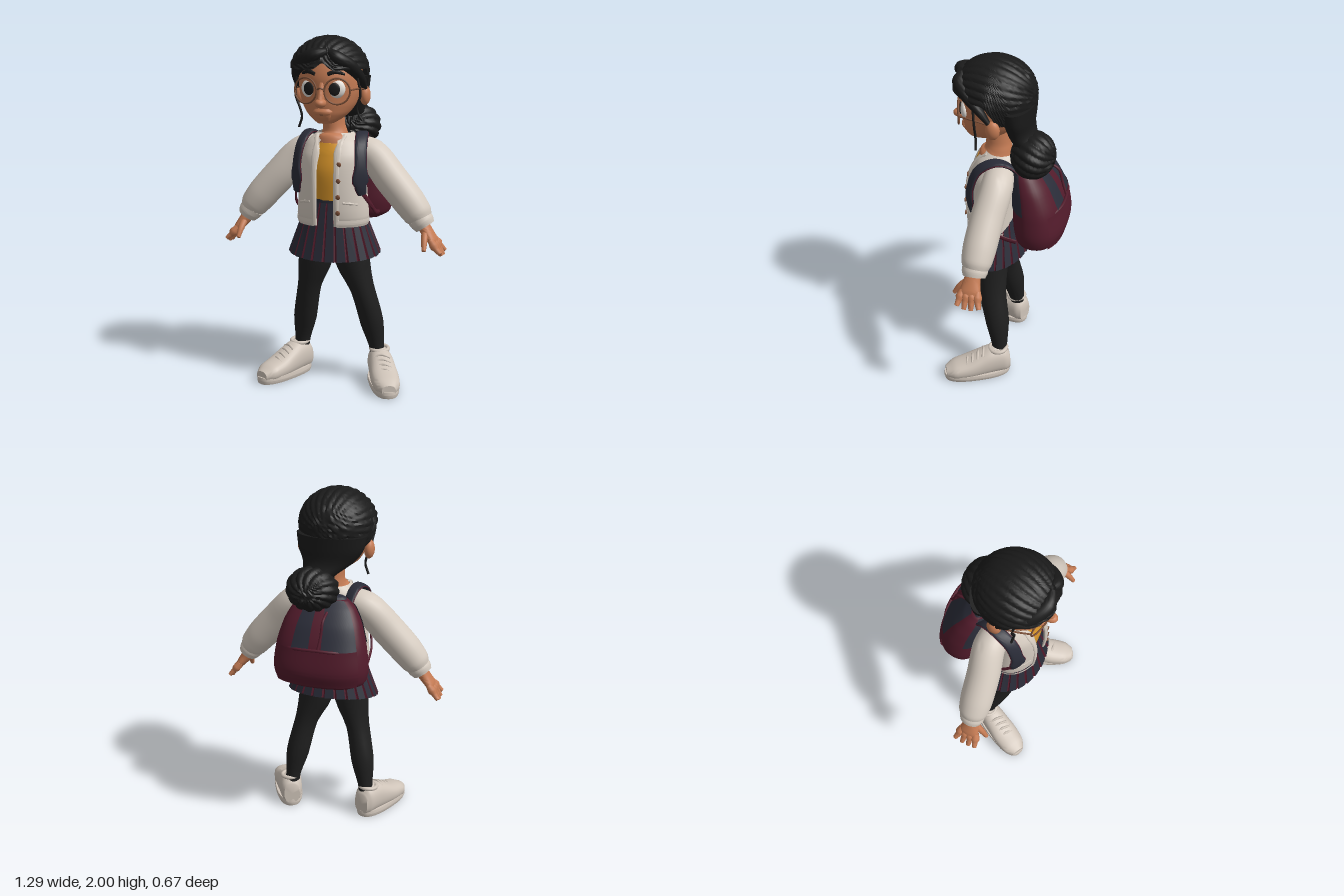
import * as THREE from 'three';
import { toCreasedNormals } from 'three/addons/utils/BufferGeometryUtils.js';
import { ParametricGeometry } from 'three/addons/geometries/ParametricGeometry.js';

const X = new THREE.Vector3(1, 0, 0), Y = new THREE.Vector3(0, 1, 0), Z = new THREE.Vector3(0, 0, 1);
const PI = Math.PI;

// Tapered sweep: rows are [x, y, z, radius along ref, radius across]; a fixed axis keeps sections parallel
function sweep(rows, { ref = Z, axis, a0 = 0, a1 = 2 * PI, p = 1, nu = 28, nv = 20, cap = true } = {}) {
  const path = new THREE.CatmullRomCurve3(rows.map(r => new THREE.Vector3(r[0], r[1], r[2])));
  const size = new THREE.CatmullRomCurve3(rows.map(r => new THREE.Vector3(r[3], r[4], 0)));
  const e = cap ? 1 / nv : 0;
  const bend = c => Math.sign(c) * Math.abs(c) ** p;
  const t = new THREE.Vector3(), u = new THREE.Vector3(), w = new THREE.Vector3(), r = new THREE.Vector3();
  const geo = new ParametricGeometry((i, j, out) => {
    const s = cap ? Math.max(0.005, Math.min(1, j / e, (1 - j) / e)) : 1;
    const k = THREE.MathUtils.clamp((j - e) / (1 - 2 * e), 0, 1);
    path.getPoint(k, out); size.getPoint(k, r);
    if (axis) t.copy(axis); else path.getTangent(k, t);
    u.copy(ref).addScaledVector(t, -ref.dot(t)).normalize();
    w.crossVectors(t, u);
    const a = a0 + (a1 - a0) * i;
    out.addScaledVector(u, bend(Math.cos(a)) * r.x * s).addScaledVector(w, bend(Math.sin(a)) * r.y * s);
  }, nu, nv);
  return toCreasedNormals(geo, 0.9);
}

// Ellipsoid of combed hair, cut at a hairline angle that varies around the head
function hairBlob(c, rad, count, depth, hairline = () => PI) {
  const geo = new ParametricGeometry((u, v, out) => {
    const f = PI - u * 2 * PI, th = Math.max(0.002, v * hairline(f));
    const d = [Math.sin(th) * Math.sin(f), Math.cos(th), Math.sin(th) * Math.cos(f)];
    const k = 1 - depth * (1 - Math.abs(Math.sin(count * Math.atan2(d[0], d[1]) + 3 * d[2])));
    out.set(c[0] + d[0] * rad[0] * k, c[1] + d[1] * rad[1] * k, c[2] + d[2] * rad[2] * k);
  }, 96, 40);
  return toCreasedNormals(geo, 0.7);
}

// Pleated skirt strips between two fractions of each pleat, creased inwards by depth at either edge
function pleats(from, to, dFrom, dTo) {
  const n = 24, pos = [];
  const levels = [[1.11, 0.145, 0.12], [0.96, 0.2, 0.15], [0.775, 0.272, 0.19]];
  const pt = (f, l, depth) => {
    const [y, rx, rz] = levels[l], k = 1 - depth * (l + 1), a = f * 2 * PI / n;
    return [Math.sin(a) * rx * k, y - (l === 2 ? 0.028 * Math.cos(a) : 0), 0.075 + Math.cos(a) * rz * k];
  };
  for (let i = 0; i < n; i++) for (let l = 0; l < 2; l++) {
    const A = pt(i + from, l, dFrom), B = pt(i + to, l, dTo), C = pt(i + to, l + 1, dTo), D = pt(i + from, l + 1, dFrom);
    pos.push(...A, ...D, ...C, ...A, ...C, ...B);
  }
  const g = new THREE.BufferGeometry();
  g.setAttribute('position', new THREE.Float32BufferAttribute(pos, 3));
  g.computeVertexNormals();
  return g;
}

export function createModel() {
  const model = new THREE.Group();
  model.name = 'schoolgirl';
  const mat = (name, color) => new THREE.MeshStandardMaterial({ name, color, side: THREE.DoubleSide });
  const hair = mat('hairBlack', 0x1a1a1a), skin = mat('skin', 0xc47b54), cream = mat('cardiganCream', 0xd5cbc0),
    mustard = mat('shirtMustard', 0xd8952a), navy = mat('navy', 0x2a2c38), maroon = mat('maroon', 0x521b2b),
    tights = mat('tightsBlack', 0x1f1f1f), white = mat('eyeWhite', 0xe6e2dc), brown = mat('frameBrown', 0x7c5038),
    canvas = mat('shoeCanvas', 0xcfc4b9);
  const add = (name, geo, m, parent = model) => {
    const mesh = new THREE.Mesh(geo, m);
    mesh.name = name; parent.add(mesh);
    return mesh;
  };
  const ball = (name, m, p, r) => {
    const b = add(name, new THREE.SphereGeometry(1, 24, 16), m);
    b.position.set(...p); b.scale.set(...r);
    return b;
  };
  // Round cord of constant thickness
  const cord = (name, m, pts, r, parent) => add(name, new THREE.TubeGeometry(
    new THREE.CatmullRomCurve3(pts.map(q => new THREE.Vector3(...q))), 20, r, 8), m, parent);

  // Head and neck
  add('head', sweep([[-0.015, 1.525, 0.185, 0.055, 0.045], [-0.015, 1.545, 0.16, 0.09, 0.08], [-0.015, 1.58, 0.135, 0.127, 0.12],
    [-0.016, 1.63, 0.112, 0.156, 0.152], [-0.016, 1.7, 0.095, 0.176, 0.173], [-0.018, 1.78, 0.085, 0.19, 0.178],
    [-0.02, 1.88, 0.08, 0.165, 0.155], [-0.02, 1.94, 0.08, 0.1, 0.1]], { axis: Y, nu: 40, nv: 30 }), skin);
  add('neck', sweep([[0, 1.36, 0.09, 0.1, 0.12], [0, 1.42, 0.077, 0.1, 0.1], [0, 1.455, 0.07, 0.078, 0.075],
    [-0.003, 1.5, 0.07, 0.07, 0.062], [-0.01, 1.6, 0.075, 0.07, 0.06]]), skin);
  ball('noseTip', skin, [-0.013, 1.643, 0.287], [0.031, 0.026, 0.042]);
  add('noseBridge', sweep([[-0.014, 1.75, 0.258, 0.02, 0.016], [-0.013, 1.65, 0.285, 0.03, 0.02]]), skin);
  add('mouthMound', sweep([[-0.013, 1.61, 0.24, 0.03, 0.05], [-0.013, 1.58, 0.24, 0.03, 0.05], [-0.013, 1.55, 0.225, 0.025, 0.045]]), skin);
  cord('mouth', brown, [[-0.052, 1.59, 0.254], [-0.013, 1.58, 0.271], [0.028, 1.592, 0.254]], 0.006);

  // Eyes, brows, ears and glasses
  for (const s of [-1, 1]) {
    const cx = -0.014 + s * 0.076;
    ball('eyeWhite', white, [cx, 1.718, 0.24], [0.05, 0.052, 0.026]).rotation.y = s * 0.25;
    ball('iris', brown, [cx - s * 0.003, 1.718, 0.26], [0.032, 0.036, 0.008]).rotation.y = s * 0.2;
    ball('pupil', hair, [cx - s * 0.003, 1.718, 0.264], [0.031, 0.035, 0.008]).rotation.y = s * 0.2;
    add('eyebrow', sweep([[cx - s * 0.04, 1.798, 0.272, 0.006, 0.01], [cx, 1.812, 0.26, 0.007, 0.012],
      [cx + s * 0.045, 1.797, 0.228, 0.005, 0.006]]), hair);
    ball('ear', skin, [-0.018 + s * 0.192, 1.67, 0.06], [0.03, 0.055, 0.04]);
    const rim = add('glassesRim', new THREE.TorusGeometry(0.07, 0.005, 8, 36), brown);
    rim.position.set(-0.013 + s * 0.09, 1.708, 0.272);
    rim.rotation.y = s * 0.25;
    cord('glassesArm', brown, [[-0.013 + s * 0.157, 1.715, 0.256], [-0.016 + s * 0.186, 1.715, 0.16], [-0.018 + s * 0.196, 1.7, 0.06]], 0.005);
  }
  cord('glassesBridge', brown, [[-0.034, 1.715, 0.287], [-0.013, 1.725, 0.297], [0.008, 1.715, 0.287]], 0.005);

  // Hair: cap, swept fringe, loose strands and low bun
  add('hairCap', hairBlob([-0.022, 1.8, 0.092], [0.223, 0.2, 0.235], 14, 0.035, f =>
    1.46 + 1.16 * THREE.MathUtils.smoothstep(-Math.cos(f), -0.15, 0.6) - 0.2 * Math.exp(-(((f - 0.12) / 0.16) ** 2))), hair);
  add('fringeRight', sweep([[0.02, 1.92, 0.27, 0.02, 0.02], [-0.06, 1.895, 0.278, 0.045, 0.042], [-0.145, 1.85, 0.225, 0.04, 0.042],
    [-0.2, 1.78, 0.13, 0.03, 0.032], [-0.212, 1.71, 0.08, 0.012, 0.015]]), hair);
  add('fringeLeft', sweep([[0.03, 1.92, 0.26, 0.02, 0.02], [0.075, 1.885, 0.262, 0.04, 0.038], [0.13, 1.84, 0.21, 0.035, 0.038],
    [0.167, 1.77, 0.13, 0.025, 0.028], [0.178, 1.71, 0.08, 0.012, 0.015]]), hair);
  cord('strandRight', hair, [[-0.19, 1.78, 0.17], [-0.2, 1.67, 0.16], [-0.175, 1.6, 0.16], [-0.165, 1.55, 0.155], [-0.185, 1.49, 0.15]], 0.007);
  cord('strandLeft', hair, [[0.16, 1.78, 0.17], [0.175, 1.68, 0.16], [0.155, 1.61, 0.16], [0.165, 1.57, 0.155], [0.185, 1.54, 0.15]], 0.007);
  add('hairNape', sweep([[-0.02, 1.77, -0.03, 0.11, 0.2], [-0.018, 1.69, -0.045, 0.09, 0.185], [-0.005, 1.62, -0.055, 0.078, 0.145],
    [0.03, 1.56, -0.085, 0.075, 0.1], [0.045, 1.53, -0.11, 0.07, 0.08]], { axis: Y }), hair);
  add('hairBun', hairBlob([0.06, 1.475, -0.14], [0.152, 0.13, 0.126], 7, 0.08), hair);

  // Shirt, skirt and cardigan
  add('shirt', sweep([[0, 1.08, 0.085, 0.128, 0.15], [0, 1.25, 0.09, 0.137, 0.17], [0, 1.36, 0.08, 0.125, 0.15],
    [0, 1.41, 0.075, 0.11, 0.11]], { axis: Y }), mustard);
  const d = 0.014;
  add('skirtPleats', pleats(0, 0.74, 0, 0.3 * d), navy);
  add('skirtFoldsIn', pleats(0.74, 0.88, 0.3 * d, d), maroon);
  add('skirtFoldsOut', pleats(0.88, 1, d, 0), maroon);
  add('waistband', sweep([[0, 1.075, 0.08, 0.134, 0.16], [0, 1.105, 0.08, 0.134, 0.16]]), navy);
  const open = { axis: Y, a0: 0.32, a1: 2 * PI - 0.35, cap: false, nu: 40 };
  add('cardigan', sweep([[0, 0.95, 0.095, 0.14, 0.196], [0, 1.0, 0.1, 0.15, 0.208], [0, 1.2, 0.1, 0.15, 0.193],
    [0, 1.33, 0.09, 0.142, 0.188], [0, 1.41, 0.065, 0.122, 0.16], [0, 1.46, 0.05, 0.09, 0.1]], open), cream);
  add('cardiganHem', sweep([[0, 0.945, 0.098, 0.15, 0.203], [0, 0.965, 0.098, 0.155, 0.21], [0, 0.985, 0.1, 0.152, 0.21]], open), cream);
  for (const s of [-1, 1]) {
    const x = s > 0 ? 0.06 : -0.069;
    add('placket', sweep([[x, 0.95, 0.236, 0.016, 0.007], [x, 1.1, 0.246, 0.016, 0.007], [x, 1.28, 0.233, 0.016, 0.007],
      [x, 1.39, 0.188, 0.016, 0.007], [x * 1.25, 1.45, 0.12, 0.014, 0.007]], { ref: X }), cream);
    add('pocketWelt', sweep([[s * 0.095, 1.085, 0.23, 0.008, 0.01], [s * 0.13, 1.08, 0.211, 0.008, 0.01], [s * 0.165, 1.07, 0.182, 0.008, 0.01]]), cream);
  }
  [[1.3, 0.231], [1.21, 0.246], [1.12, 0.25], [1.03, 0.25]].forEach(([y, z]) =>
    ball('button', brown, [0.073, y, z], [0.014, 0.014, 0.006]));

  for (const s of [-1, 1]) {
    const side = rows => rows.map(([x, ...r]) => [x * s, ...r]);

    // Arms and hands
    add('sleeve', sweep(side([[0.12, 1.375, 0.035, 0.08, 0.07], [0.21, 1.335, 0.03, 0.09, 0.088], [0.325, 1.207, 0.055, 0.093, 0.095],
      [0.43, 1.09, 0.07, 0.093, 0.092], [0.49, 1.015, 0.077, 0.084, 0.082], [0.515, 0.98, 0.08, 0.065, 0.06]]), { nv: 28 }), cream);
    add('cuff', sweep(side([[0.495, 1.0, 0.08, 0.072, 0.07], [0.515, 0.975, 0.08, 0.072, 0.068], [0.532, 0.95, 0.08, 0.062, 0.058]])), cream);
    add('palm', sweep(side([[0.515, 0.97, 0.082, 0.04, 0.035], [0.545, 0.925, 0.09, 0.048, 0.033], [0.58, 0.88, 0.092, 0.058, 0.026],
      [0.592, 0.865, 0.092, 0.05, 0.02]])), skin);
    [[0.03, 0.81], [0.075, 0.795], [0.115, 0.798], [0.155, 0.815]].forEach(([z, y], i) =>
      add('finger', sweep(side([[0.575, 0.885, 0.05 + i * 0.028, 0.018, 0.017], [0.61, 0.84, 0.042 + i * 0.035, 0.018, 0.017],
        [0.637, y, z, 0.013, 0.012]]), { nu: 10, nv: 10 }), skin));
    add('thumb', sweep(side([[0.54, 0.925, 0.11, 0.024, 0.022], [0.545, 0.885, 0.155, 0.019, 0.018], [0.55, 0.835, 0.19, 0.012, 0.012]]), { nu: 10 }), skin);

    // Legs, a little wider on the left
    const k = s > 0 ? 1 : 0.91;
    add('leg', sweep(side([[0.1, 0.92, 0.085, 0.1, 0.1], [0.103, 0.77, 0.09, 0.098, 0.105], [0.17 * k, 0.55, 0.072, 0.08, 0.067],
      [0.212 * k, 0.36, 0.035, 0.071, 0.068], [0.24 * k, 0.19, 0.015, 0.046, 0.043], [0.244 * k, 0.12, 0.015, 0.045, 0.042]])), tights);

    // Shoes turned outwards
    const shoe = new THREE.Group();
    shoe.name = 'shoe'; shoe.position.set(s * 0.255 * k, 0, 0.012); shoe.rotation.y = s * 0.43;
    model.add(shoe);
    add('sole', sweep([[0, 0, 0.14, 0.198, 0.076], [0, 0.02, 0.14, 0.202, 0.082], [0, 0.04, 0.14, 0.2, 0.08]], { p: 0.8 }), canvas, shoe);
    add('shoeUpper', sweep([[0, 0.085, -0.058, 0.065, 0.048], [0, 0.1, -0.025, 0.09, 0.066], [0, 0.1, 0.05, 0.092, 0.072],
      [0, 0.085, 0.12, 0.08, 0.077], [0, 0.067, 0.2, 0.06, 0.081], [0, 0.055, 0.28, 0.047, 0.072], [0, 0.045, 0.33, 0.03, 0.04]],
      { ref: Y, axis: Z, p: 0.85, nv: 28 }), canvas, shoe);
    add('shoeCollar', new THREE.TorusGeometry(0.05, 0.012, 10, 28).rotateX(PI / 2 + 0.08).translate(0, 0.185, 0.008), canvas, shoe);
    for (let i = 0; i < 4; i++) {
      const z = 0.1 + i * 0.033, y = 0.176 - i * 0.017;
      cord('lace', canvas, [[-0.045, y - 0.016, z - 0.01], [0, y, z], [0.045, y - 0.016, z + 0.01]], 0.008, shoe);
    }

    // Shoulder straps with piping, turned to lie round the chest
    const strap = (w, t) => sweep(side([[0.12, 1.36, -0.09, w, t], [0.14, 1.44, -0.01, w, t], [0.158, 1.452, 0.06, w, t], [0.175, 1.4, 0.145, w, t],
      [0.186, 1.29, 0.187, w, t], [0.187, 1.18, 0.19, w, t], [0.192, 1.13, 0.175, w * 0.7, t]]),
      { ref: new THREE.Vector3(s * 0.8, 0, -0.6), nv: 32, p: 0.7 });
    add('strap', strap(0.034, 0.013), navy);
    add('strapPiping', strap(0.037, 0.005), maroon);
    add('lowerStrap', sweep(side([[0.195, 1.14, 0.18, 0.014, 0.006], [0.222, 1.06, 0.1, 0.014, 0.006], [0.222, 1.0, 0, 0.014, 0.006],
      [0.22, 0.98, -0.08, 0.014, 0.006]]), { ref: Y }), maroon);
  }

  // Backpack with navy upper and side panels, pocket and carry loop
  const pack = [[0, 0.935, -0.175, 0.09, 0.2], [0, 0.97, -0.18, 0.135, 0.258], [0, 1.05, -0.182, 0.15, 0.272],
    [0, 1.18, -0.17, 0.142, 0.255], [0, 1.3, -0.14, 0.112, 0.22], [0, 1.38, -0.11, 0.08, 0.175], [0, 1.42, -0.095, 0.05, 0.13]];
  const grow = (rows, d) => rows.map(([x, y, z, a, b]) => [x, y, z, a + d, b + d]);
  const shell = { axis: Y, p: 0.85 };
  add('backpack', sweep(pack, { ...shell, nu: 40, nv: 30 }), maroon);
  for (const [s, reach] of [[-1, 0.5], [1, 1.0]]) {
    add('backpackPanel', sweep(grow(pack.slice(3), 0.006), { ...shell, a0: PI + s * 0.1, a1: PI + s * reach, cap: false }), navy);
    add('backpackSidePanel', sweep(grow(pack.slice(3), 0.005), { ...shell, a0: s * 0.2, a1: s * 1.3, cap: false }), navy);
  }
  add('backpackTop', sweep([[0, 1.4, -0.1, 0.065, 0.15], [0, 1.432, -0.09, 0.04, 0.11]], { axis: Y }), navy);
  add('backpackPocket', sweep(grow(pack.slice(1, 4), 0.008), { ...shell, a0: PI - 1, a1: PI + 1, cap: false }), maroon);
  cord('pocketSeam', maroon, [[-0.21, 1.165, -0.255], [-0.1, 1.18, -0.31], [0, 1.185, -0.32], [0.1, 1.18, -0.31], [0.21, 1.165, -0.255]], 0.009);
  cord('carryLoop', maroon, [[-0.04, 1.37, -0.2], [-0.035, 1.34, -0.265], [-0.03, 1.26, -0.29], [-0.02, 1.19, -0.315]], 0.008);
  return model;
}
